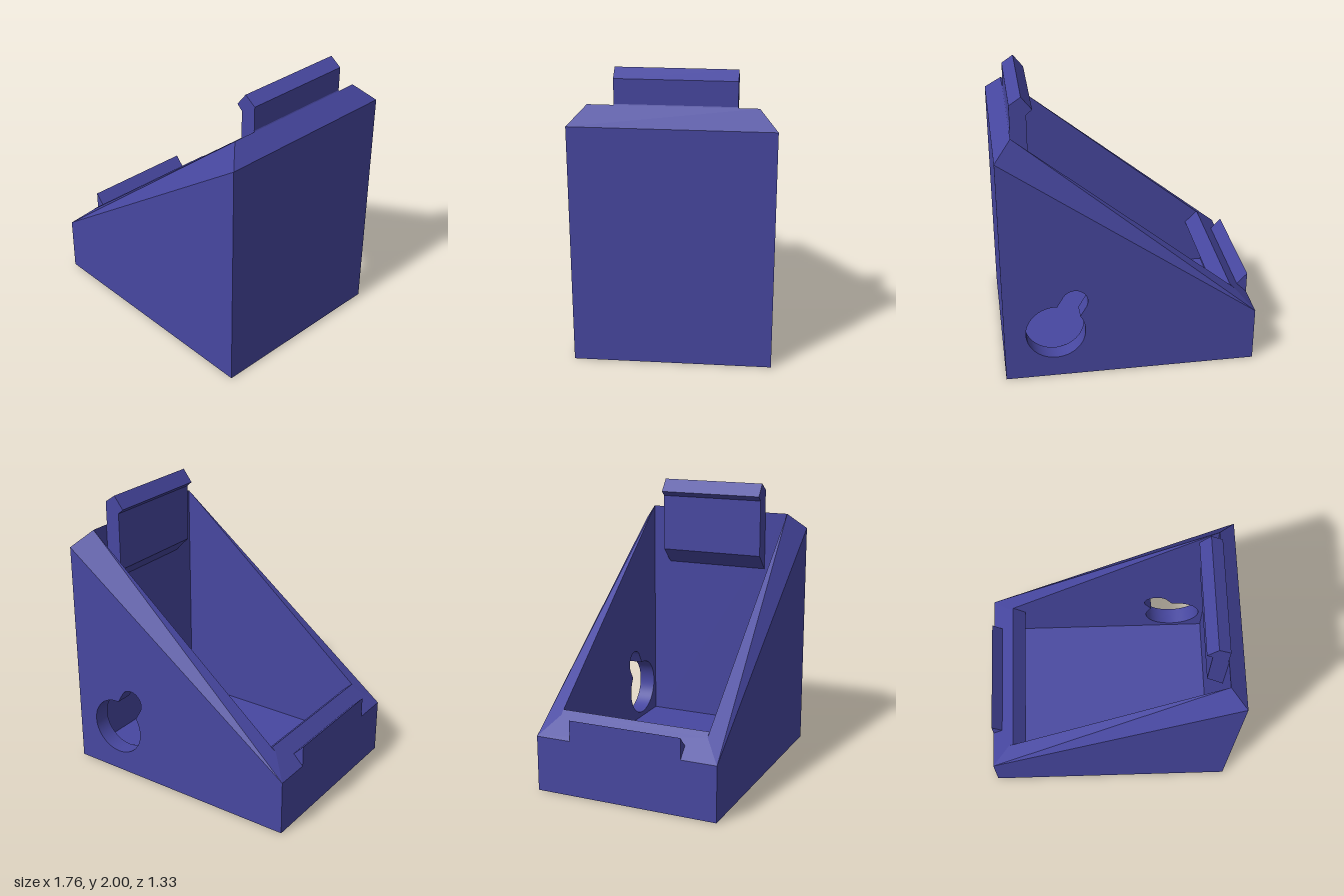
import * as THREE from 'three';
import { toCreasedNormals } from 'three/addons/utils/BufferGeometryUtils.js';

const X = 0.88, Z = 0.665;          // outer half sizes
const XI = 0.765, ZI = 0.545;       // inner half sizes
const FLOOR = 0.115;

const shapeOf = (pts) => new THREE.Shape(pts.map(([x, y]) => new THREE.Vector2(x, y)));

// Extrude an x-y profile between two z positions
function prism(shape, z0, z1) {
  const g = new THREE.ExtrudeGeometry(shape, { depth: z1 - z0, bevelEnabled: false, curveSegments: 32 });
  return g.translate(0, 0, z0);
}

// Move every vertex by a rule
function warp(g, rule) {
  const p = g.attributes.position, v = new THREE.Vector3();
  for (let i = 0; i < p.count; i++) {
    rule(v.fromBufferAttribute(p, i));
    p.setXYZ(i, v.x, v.y, v.z);
  }
  return g;
}

// Mirror in z, swapping two corners of each face to keep it facing out
function mirrorZ(g) {
  const p = g.attributes.position, a = new THREE.Vector3(), b = new THREE.Vector3();
  for (let i = 0; i < p.count; i += 3) {
    a.fromBufferAttribute(p, i + 1);
    b.fromBufferAttribute(p, i + 2);
    p.setXYZ(i + 1, b.x, b.y, b.z);
    p.setXYZ(i + 2, a.x, a.y, a.z);
  }
  return warp(g, (v) => { v.z *= -1; });
}

// Sloped side wall at the back; its inner top edge is raised to form the bevel
function sideWall(hole) {
  const shape = shapeOf([[-X, 0], [X, 0], [X, 1.66], [-X, 0.395]]);
  if (hole) shape.holes.push(hole);
  return warp(prism(shape, -Z, -ZI), (v) => {
    if (v.z < -0.6 || v.y < 0.3 || Math.abs(v.x) < X - 0.01) return;
    if (v.x > 0) { v.x = XI; v.y = 1.775; } else { v.x = -0.75; v.y = 0.525; }
  });
}

// Round opening with a narrower slot leaning off it
function keyhole() {
  const cx = 0.525, cy = 0.357, R = 0.206, r = 0.09, dir = Math.PI * 2 / 3, len = 0.27;
  const half = Math.asin(r / R);
  const path = new THREE.Path();
  path.absarc(cx, cy, R, dir + half, dir - half + Math.PI * 2, false);
  path.absarc(cx + len * Math.cos(dir), cy + len * Math.sin(dir), r, dir - Math.PI / 2, dir + Math.PI / 2, false);
  return path;
}

// End wall whose ends are mitred into the side walls
function endWall(pts, innerX) {
  return warp(prism(shapeOf(pts), -1, 1), (v) => {
    const t = THREE.MathUtils.clamp((Math.abs(v.x) - innerX) / (X - innerX), 0, 1);
    v.z = Math.sign(v.z) * THREE.MathUtils.lerp(ZI, Z, t);
  });
}

export function createModel() {
  const group = new THREE.Group();
  const material = new THREE.MeshStandardMaterial({ color: 0x4747a0 });
  const add = (name, geometry) => {
    const g = geometry.index ? geometry.toNonIndexed() : geometry;
    g.computeVertexNormals();
    const mesh = new THREE.Mesh(toCreasedNormals(g, 0.4), material);
    mesh.name = name;
    group.add(mesh);
  };

  // Tray: floor and four walls
  add('floor', new THREE.BoxGeometry(2 * XI, FLOOR, 2 * ZI).translate(0, FLOOR / 2, 0));
  add('backWall', sideWall(keyhole()));
  add('frontWall', mirrorZ(sideWall()));
  add('highWall', endWall([[XI, 0], [X, 0], [X, 1.66], [XI, 1.775]], XI));
  add('lowWall', endWall([
    [-X, 0], [-XI, 0], [-XI, 0.33], [-0.63, 0.465], [-0.72, 0.555], [-0.75, 0.525], [-X, 0.395],
  ], 0.75));

  // Small lip forming a groove on the low wall
  add('lip', prism(shapeOf([[-X, 0.39], [-0.805, 0.465], [-X, 0.545]]), -0.41, 0.41));

  // Snap hook standing against the high wall
  add('hook', prism(shapeOf([
    [0.65, 1.46], [0.77, 1.34], [0.77, 1.76], [0.76, 1.78], [0.76, 1.945],
    [0.68, 2], [0.61, 1.91], [0.65, 1.875],
  ]), -0.41, 0.375));

  return group;
}
